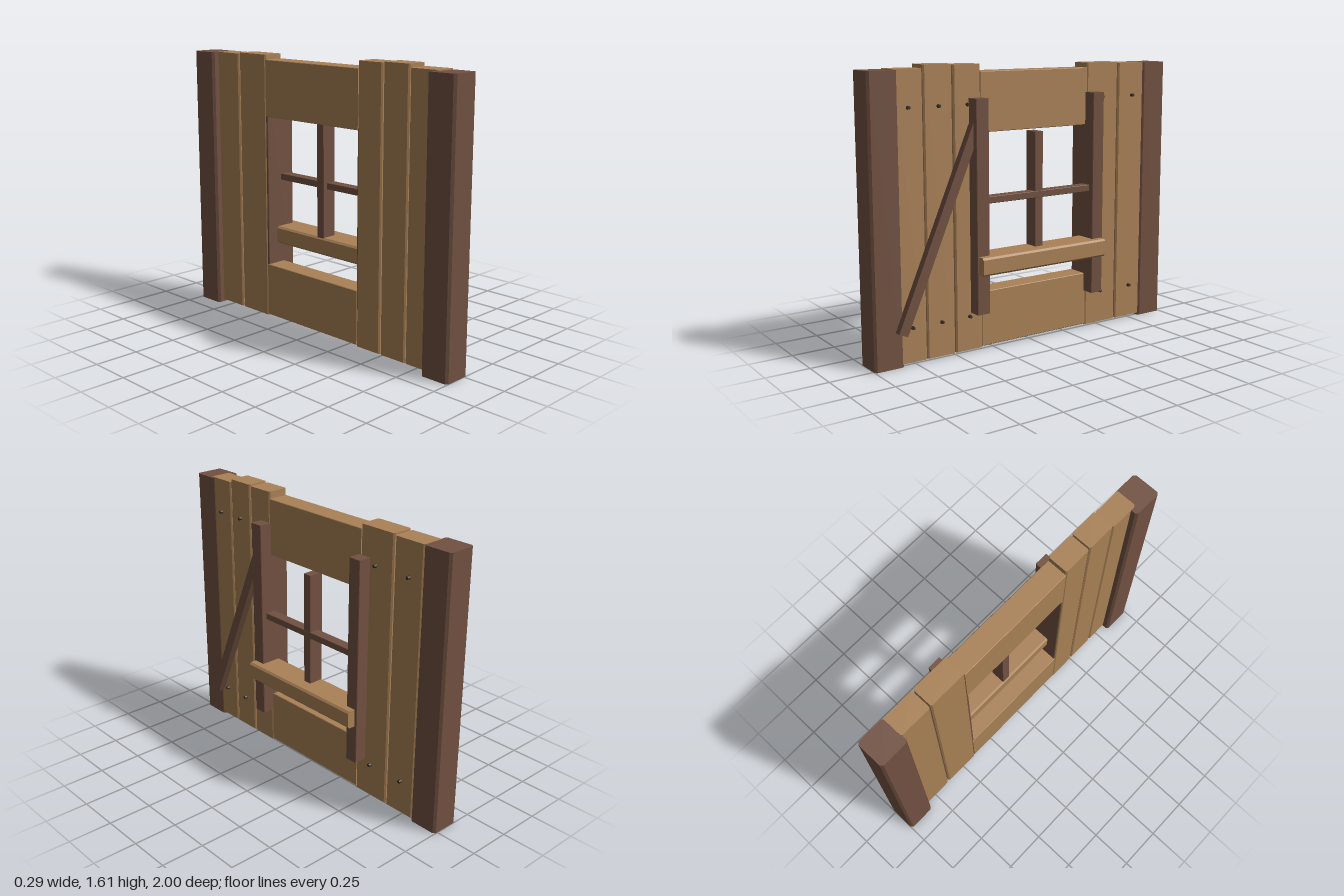
import * as THREE from 'three';

const paint = (name, color) => {
  const m = new THREE.MeshStandardMaterial({ color });
  m.name = name;
  return m;
};

// Timber with chamfered long edges, running along y or z
function timber(along, [x0, x1], [y0, y1], [z0, z1], chamfer) {
  const w = (x1 - x0) / 2;
  const h = (along === 'y' ? z1 - z0 : y1 - y0) / 2;
  const length = along === 'y' ? y1 - y0 : z1 - z0;
  const c = chamfer;
  const section = new THREE.Shape([
    [-w + c, -h], [w - c, -h], [w, -h + c], [w, h - c],
    [w - c, h], [-w + c, h], [-w, h - c], [-w, -h + c],
  ].map(([a, b]) => new THREE.Vector2(a, b)));
  const g = new THREE.ExtrudeGeometry(section, { depth: length, bevelEnabled: false });
  g.translate(0, 0, -length / 2);
  if (along === 'y') g.rotateX(-Math.PI / 2);
  return g.translate((x0 + x1) / 2, (y0 + y1) / 2, (z0 + z1) / 2);
}

export function createModel() {
  const group = new THREE.Group();
  group.name = 'windowWall';
  const light = paint('light wood', 0xa98156);
  const dark = paint('dark wood', 0x715141);
  const iron = paint('iron', 0x3a2e28);

  const add = (name, geometry, material) => {
    const mesh = new THREE.Mesh(geometry, material);
    mesh.name = name;
    group.add(mesh);
    return mesh;
  };

  // End posts
  add('frontPost', timber('y', [-0.145, 0.024], [0, 1.58], [0.825, 1], 0.013), dark);
  add('backPost', timber('y', [-0.145, 0.024], [0, 1.58], [-1, -0.825], 0.013), dark);

  // Upright planks: z from, z to, top
  [
    [0.685, 0.86, 1.586], [0.507, 0.68, 1.605], [0.33, 0.5, 1.6],
    [-0.63, -0.4, 1.588], [-0.83, -0.637, 1.581],
  ].forEach(([z0, z1, top], i) =>
    add(`plank${i + 1}`, timber('y', [-0.105, 0.021], [0.015, top], [z0, z1], 0.008), light));

  // Boards above and below the opening
  add('upperBoard', timber('z', [-0.104, 0.02], [1.23, 1.56], [-0.4, 0.33], 0.003), light);
  add('lowerBoard', timber('z', [-0.104, 0.02], [0.02, 0.337], [-0.4, 0.33], 0.003), light);

  // Window jambs, bars and sill
  add('frontJamb', timber('y', [-0.1, 0.095], [0.23, 1.42], [0.325, 0.405], 0.003), dark);
  add('backJamb', timber('y', [-0.1, 0.095], [0.23, 1.42], [-0.468, -0.39], 0.003), dark);
  add('uprightBar', timber('y', [-0.028, 0.062], [0.54, 1.217], [-0.056, -0.003], 0.002), dark);
  add('crossBar', timber('z', [0, 0.063], [0.842, 0.88], [-0.391, 0.326], 0.002), dark);
  add('sill', timber('z', [-0.035, 0.143], [0.457, 0.56], [-0.452, 0.396], 0.011), light);

  // Slanted brace
  const foot = new THREE.Vector3(0.042, 0.189, 0.85);
  const head = new THREE.Vector3(0.042, 1.28, 0.378);
  const brace = add('brace', new THREE.BoxGeometry(0.046, foot.distanceTo(head), 0.056), dark);
  brace.position.copy(foot).add(head).multiplyScalar(0.5);
  brace.rotation.x = Math.atan2(head.z - foot.z, head.y - foot.y);

  // Nail heads
  for (const y of [0.21, 1.387]) {
    for (const z of [0.773, 0.593, 0.415, -0.51, -0.74]) {
      const nail = add('nail', new THREE.CylinderGeometry(0.009, 0.011, 0.022, 8), iron);
      nail.rotation.z = -Math.PI / 2;
      nail.position.set(0.027, y, z);
    }
  }
  return group;
}
